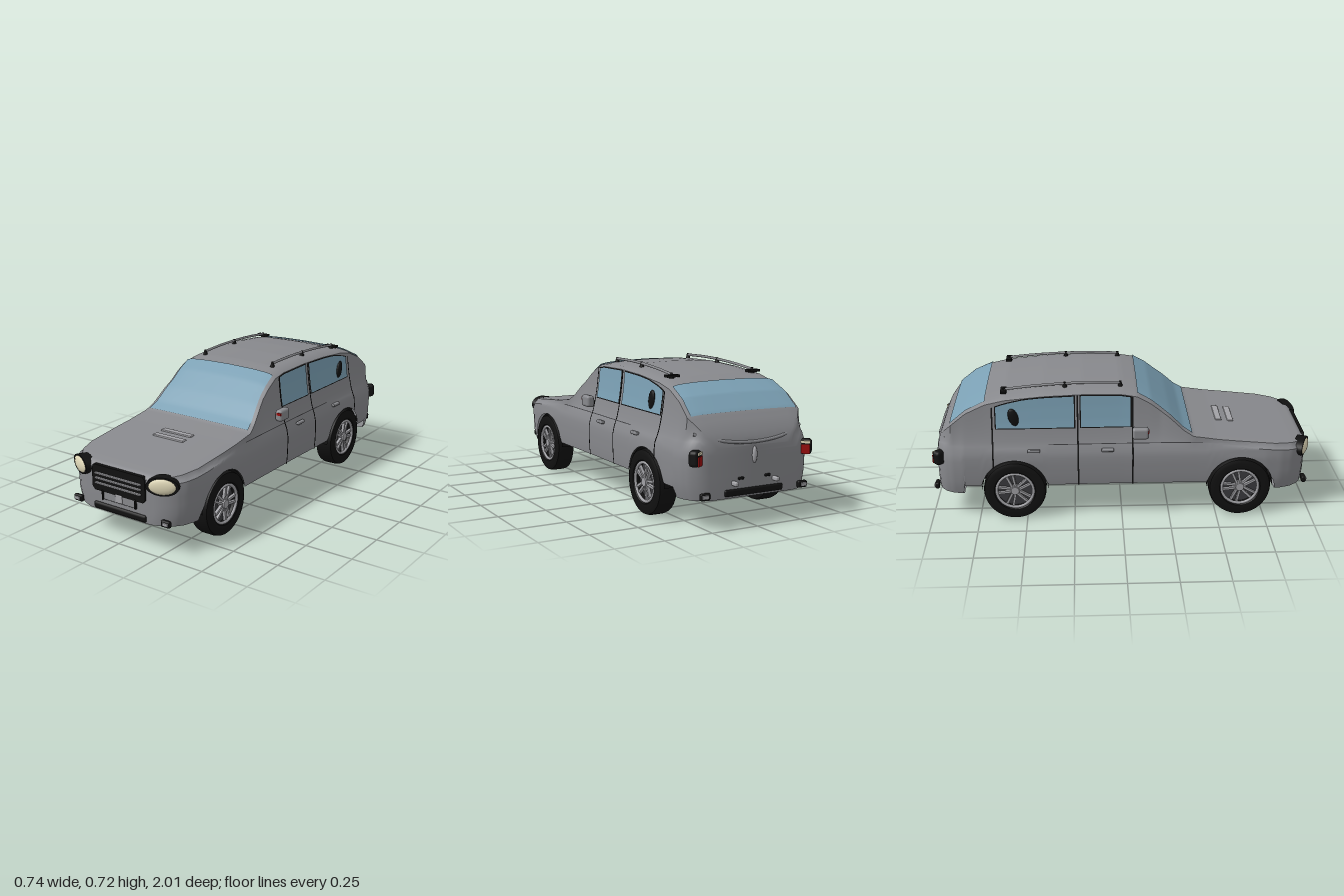
import * as THREE from 'three';
import { toCreasedNormals } from 'three/addons/utils/BufferGeometryUtils.js';
import { RoundedBoxGeometry } from 'three/addons/geometries/RoundedBoxGeometry.js';

const mat = (name, color) => new THREE.MeshStandardMaterial({ name, color, side: THREE.DoubleSide });
const PAINT = mat('grey paint', 0x88898d), GLASS = mat('blue glass', 0x7ba0b4), BLACK = mat('black trim', 0x111111),
  CREAM = mat('cream lens', 0xe0d8b8), RED = mat('red lens', 0x990c0c), SILVER = mat('silver', 0xa2a2a6),
  DARK = mat('dark grey', 0x3c3c3f);

// Linear lookup in a small table of [position, value]
function look(table, t) {
  if (t <= table[0][0]) return table[0][1];
  for (let i = 1; i < table.length; i++) {
    const [a, p] = table[i - 1], [b, q] = table[i];
    if (t <= b) return p + (q - p) * (t - a) / (b - a);
  }
  return table[table.length - 1][1];
}

// Body lines along z
const ROOF = [[-.965, .38], [-.95, .43], [-.92, .48], [-.88, .53], [-.8, .6], [-.7, .65], [-.6, .674], [-.4, .694],
  [-.2, .702], [0, .697], [.08, .683], [.15, .64], [.25, .555], [.32, .485], [.37, .452], [.5, .432], [.7, .412],
  [.9, .392], [.96, .383], [.98, .365]];
const WIDTH = [[-.965, .25], [-.95, .295], [-.92, .33], [-.88, .35], [-.82, .362], [-.5, .362], [0, .357], [.4, .36],
  [.75, .367], [.83, .36], [.89, .342], [.93, .312], [.96, .27], [.98, .21]];
const TOPW = [[-.965, .2], [-.94, .26], [-.88, .315], [-.7, .302], [-.3, .297], [0, .292], [.08, .295], [.2, .3],
  [.37, .338], [.6, .34], [.8, .335], [.89, .31], [.93, .28], [.96, .24], [.98, .18]];
const SIDE = [[.13, -.025], [.2, -.005], [.33, 0], [.38, -.006], [.41, -.02]];
const CROWN = [[0, 1], [.5, .99], [.8, .97], [.93, .945], [1, .9]];
const AXLES = [.62, -.56], HUB = .162, ARCH = .173;

function section(z) {
  const yT = look(ROOF, z), yS = Math.min(.41, yT - .03), W = look(WIDTH, z), wR = Math.min(look(TOPW, z), W - .015);
  let y0 = z > .8 || z < -.82 ? .14 : .19;
  for (const c of AXLES) if (Math.abs(z - c) < ARCH) y0 = Math.max(y0, HUB + Math.sqrt(ARCH ** 2 - (z - c) ** 2));
  const pts = [0, .12, .3, .5, .7, .85, 1].map(t => {
    const y = y0 + (yS - y0) * t;
    return [W + look(SIDE, y), y];
  });
  const wS = pts[6][0];
  for (const [f, g] of [[.1, .2], [.25, .42], [.45, .66], [.7, .87], [.9, 1]]) pts.push([wS + (wR - wS) * g, yS + (yT - yS) * f]);
  for (const a of [.93, .8, .5, .25, 0]) pts.push([wR * a, yS + (yT - yS) * look(CROWN, a)]);
  return { pts, yT, yS, wR, y0, W };
}
function sideX(z, y) {
  const p = section(z).pts.slice(0, 12).map(([x, h]) => [h, x]);
  return look(p, y);
}
function crown(z, a, lift) {
  const s = section(z);
  return [s.wR * a, s.yS + (s.yT - s.yS) * look(CROWN, Math.abs(a)) + lift, z];
}

// Grid surface from a function of two indices
function grid(nu, nv, fn) {
  const pos = [], idx = [];
  for (let j = 0; j <= nv; j++) for (let i = 0; i <= nu; i++) pos.push(...fn(i / nu, j / nv, i, j));
  for (let j = 0; j < nv; j++) for (let i = 0; i < nu; i++) {
    const a = j * (nu + 1) + i, b = a + nu + 1;
    idx.push(a, a + 1, b, a + 1, b + 1, b);
  }
  const g = new THREE.BufferGeometry();
  g.setAttribute('position', new THREE.Float32BufferAttribute(pos, 3));
  g.setIndex(idx);
  return toCreasedNormals(g, .6);
}

export function createModel() {
  const car = new THREE.Group();
  car.name = 'car';
  const add = (name, geo, m, x = 0, y = 0, z = 0, parent = car) => {
    const o = new THREE.Mesh(geo, m);
    o.name = name;
    o.position.set(x, y, z);
    parent.add(o);
    return o;
  };
  const box = (name, m, w, h, d, x, y, z, parent) => add(name, new THREE.BoxGeometry(w, h, d), m, x, y, z, parent);
  const round = (name, m, w, h, d, x, y, z, parent) =>
    add(name, new RoundedBoxGeometry(w, h, d, 2, Math.min(w, h, d) * .35), m, x, y, z, parent);
  const rod = (name, m, r, pts) => add(name, new THREE.TubeGeometry(
    new THREE.CatmullRomCurve3(pts.map(p => new THREE.Vector3(...p))), 16, r, 8), m);

  // Body shell with closed nose and tail
  const N = 160;
  add('body', grid(32, N + 2, (u, v, i, j) => {
    const k = Math.min(Math.max(j - 1, 0), N), z = -.965 + 1.945 * k / N, p = section(z).pts;
    const [x, y] = i <= 16 ? p[i] : p[32 - i];
    return [j === 0 || j === N + 2 ? 0 : i <= 16 ? x : -x, y, z];
  }), PAINT);
  for (const [a, b] of [[-.965, -.825], [.805, .98]]) add('bumperUnderside', grid(2, 12, (u, v) => {
    const z = a + (b - a) * v;
    return [(u * 2 - 1) * (look(WIDTH, z) - .024), .141, z];
  }), PAINT);

  // Windscreen and rear window
  const pane = (name, z0, z1, a) => add(name, grid(20, 24, (u, v) => crown(z0 + (z1 - z0) * v, a * (1 - 2 * u), .007)), GLASS);
  pane('windscreen', .08, .365, .94);
  pane('rearWindow', -.885, -.7, .95);

  // Thin plates that follow the body side
  const plate = (name, m, s, z0, z1, bot, top, off) => add(name, grid(12, 12, (u, v) => {
    const z = z0 + (z1 - z0) * u, b = bot(z), y = b + (top(z) - b) * v;
    return [s * (sideX(z, y) + off), y, z];
  }), m);
  const winTop = z => { const s = section(z); return s.yS + (s.yT - s.yS) * .88 - Math.max(0, -z - .5) * .12; };
  for (const s of [1, -1]) {
    for (const [z0, z1] of [[-.21, .045], [-.645, -.245]]) {
      plate('windowFrame', BLACK, s, z0 - .006, z1 + .006, () => .497, z => winTop(z) + .005, .002);
      plate('sideWindow', GLASS, s, z0, z1, () => .503, winTop, .005);
    }
    for (const z of [.056, -.227, -.665])
      plate('doorSeam', BLACK, s, z - .004, z + .004, q => section(q).y0, q => winTop(q) + .005, .006);
    plate('sideCrease', DARK, s, -.38, .42, () => .414, () => .418, .003);
    for (const z of [-.075, -.455]) round('doorHandle', PAINT, .02, .016, .065, s * .358, .388, z);
    const vent = add('windowVent', new THREE.SphereGeometry(1, 12, 8), BLACK, s * .318, .562, -.555);
    vent.scale.set(.012, .05, .026);
    vent.rotation.x = -.25;

    // Door mirror
    round('mirror', PAINT, .042, .062, .085, s * .35, .477, .095);
    box('mirrorLamp', RED, .024, .014, .008, s * .355, .488, .136);
    box('mirrorArm', BLACK, .04, .015, .03, s * .325, .47, .085);

    // Roof rail
    const railAt = z => [s * (.22 - z * .025), crown(z, .75, .018)[1], z];
    rod('roofRail', PAINT, .007, [0, -.15, -.29, -.45, -.6].map(railAt));
    for (const z of [-.005, -.29, -.6]) {
      const [x, y] = railAt(z);
      add('railFoot', new THREE.CylinderGeometry(.006, .013, .028, 8), BLACK, x, y - .006, z);
    }
    box('railEnd', BLACK, .07, .012, .03, s * .235, railAt(-.605)[1] - .006, -.605);

    // Headlight
    const lamp = new THREE.Group();
    lamp.name = 'headlight';
    lamp.position.set(s * .247, .345, .95);
    lamp.rotation.y = s * .42;
    car.add(lamp);
    const ring = add('headlightRing', new THREE.CylinderGeometry(1, 1, 1, 32), BLACK, 0, 0, 0, lamp);
    ring.rotation.x = Math.PI / 2;
    ring.scale.set(.08, .05, .046);
    add('headlightLens', new THREE.SphereGeometry(1, 24, 12), CREAM, 0, 0, .02, lamp).scale.set(.069, .041, .018);

    // Fog lamps and tail lamps
    for (const e of [1, -1]) {
      round('fogLampHousing', BLACK, .052, .034, .022, s * .275, .165, e * .972);
      round('fogLamp', SILVER, .034, .018, .01, s * .278, .165, e * .983);
    }
    const tail = new THREE.Group();
    tail.name = 'tailLight';
    tail.position.set(s * .29, .342, -.927);
    tail.rotation.y = s * .7;
    car.add(tail);
    round('tailLightFrame', BLACK, .12, .076, .05, 0, 0, 0, tail);
    box('tailLens', RED, .105, .045, .008, 0, -.011, -.025, tail);
    box('reverseLens', CREAM, .105, .012, .008, 0, .024, -.025, tail);
    round('bumperPost', SILVER, .022, .022, .07, s * .115, .21, -.965);
    round('plateBracket', BLACK, .008, .05, .02, s * .102, .225, .982);
    round('rearPlateBracket', BLACK, .03, .012, .02, s * .075, .23, -.965);
  }

  // Front grille and lower intake
  const gs = new THREE.Shape([[-.165, .26], [-.15, .243], [.15, .243], [.165, .26], [.165, .36], [.152, .375],
    [-.152, .375], [-.165, .36]].map(p => new THREE.Vector2(...p)));
  add('grille', new THREE.ExtrudeGeometry(gs, { depth: .05, bevelEnabled: false }), BLACK, 0, 0, .938);
  for (const y of [.284, .309, .334]) round('grilleBar', SILVER, .285, .009, .014, 0, y, .992);
  round('lowerIntake', BLACK, .33, .038, .04, 0, .162, .97);
  round('rearIntake', BLACK, .33, .034, .03, 0, .165, -.958);
  round('frontPlate', PAINT, .195, .045, .014, 0, .225, .98);
  round('plateCentre', SILVER, .045, .045, .016, 0, .227, .982);
  add('tailHandle', new THREE.SphereGeometry(1, 12, 10), SILVER, 0, .335, -.967).scale.set(.013, .04, .012);
  rod('tailLip', PAINT, .008, [[-.3, .445, -.908], [-.17, .41, -.953], [0, .395, -.962], [.17, .41, -.953], [.3, .445, -.908]]);
  for (const z of [.53, .595]) round('bonnetVent', SILVER, .19, .012, .034, 0, look(ROOF, z), z);

  // Wheels, arch liners and brakes
  const tyre = [[.1, -.048], [.14, -.053], [.158, -.046], [.163, -.03], [.163, .03], [.158, .046], [.14, .053],
    [.108, .05], [.1, .042], [.098, -.03]].map(p => new THREE.Vector2(...p));
  for (const z of AXLES) for (const s of [1, -1]) {
    const w = new THREE.Group();
    w.name = 'wheel';
    w.position.set(s * .317, HUB, z);
    w.rotation.z = -s * Math.PI / 2;
    car.add(w);
    add('tyre', toCreasedNormals(new THREE.LatheGeometry(tyre, 40), .5), BLACK, 0, 0, 0, w);
    add('rimBack', new THREE.CylinderGeometry(.098, .098, .02, 32), DARK, 0, .005, 0, w);
    const rim = add('rimRing', new THREE.TorusGeometry(.096, .008, 8, 40), SILVER, 0, .042, 0, w);
    rim.rotation.x = Math.PI / 2;
    add('hub', new THREE.CylinderGeometry(.022, .028, .03, 16), SILVER, 0, .035, 0, w);
    for (let i = 0; i < 5; i++) {
      const spoke = new THREE.Group();
      spoke.name = 'spoke';
      spoke.rotation.y = i * Math.PI * 2 / 5 + .3;
      w.add(spoke);
      for (const t of [-1, 1]) box('spokeArm', SILVER, .075, .016, .012, .058, .035, t * .013, spoke).rotation.y = -t * .12;
    }
    add('brakeDisc', new THREE.CylinderGeometry(.07, .07, .012, 24), SILVER, 0, -.04, 0, w);
    box('brakeCaliper', RED, .04, .035, .03, s * .262, HUB + .05, z - .03);
    const liner = add('archLiner', new THREE.CylinderGeometry(ARCH, ARCH, .11, 32, 1, true, 0, Math.PI), BLACK, s * .295, HUB, z);
    liner.rotation.z = Math.PI / 2;
    box('archWall', BLACK, .02, .16, .34, s * .238, .265, z);
  }

  // Floor, chassis and running gear
  box('floor', BLACK, .66, .02, .8, 0, .2, .03);
  box('innerFloor', BLACK, .48, .03, 1.76, 0, .215, 0);
  for (const z of [.8, -.78]) box('endFloor', BLACK, .64, .02, .1, 0, .195, z);
  for (const s of [1, -1]) {
    box('chassisRail', BLACK, .035, .035, 1.5, s * .17, .185, 0);
    rod('suspensionArm', SILVER, .01, [[s * .07, .14, .72], [s * .17, .13, .67], [s * .26, .14, .62]]);
  }
  for (const z of [.4, .2, -.08, -.3, -.42]) box('crossMember', DARK, .36, .02, .03, 0, .175, z);
  for (const z of AXLES) rod('axle', DARK, .018, [[-.27, HUB, z], [0, HUB, z], [.27, HUB, z]]);
  rod('driveShaft', DARK, .014, [[0, .16, .35], [0, .155, -.1], [0, .155, -.55]]);
  rod('exhaust', DARK, .013, [[.1, .15, .4], [.1, .15, -.2], [.12, .18, -.6], [.15, .15, -.88]]);
  round('gearbox', BLACK, .26, .07, .22, 0, .155, -.04);
  round('skidPlate', BLACK, .26, .06, .16, 0, .115, .64);
  add('differential', new THREE.SphereGeometry(.05, 16, 10), DARK, 0, .13, -.56);
  rod('steeringBar', SILVER, .006, [[-.18, .11, .77], [0, .11, .77], [.18, .11, .77]]);
  const spare = add('spareWheel', new THREE.TorusGeometry(.09, .035, 10, 32), BLACK, 0, .135, -.73);
  spare.rotation.x = Math.PI / 2;
  add('spareHub', new THREE.CylinderGeometry(.06, .06, .03, 24), DARK, 0, .14, -.73);
  return car;
}
